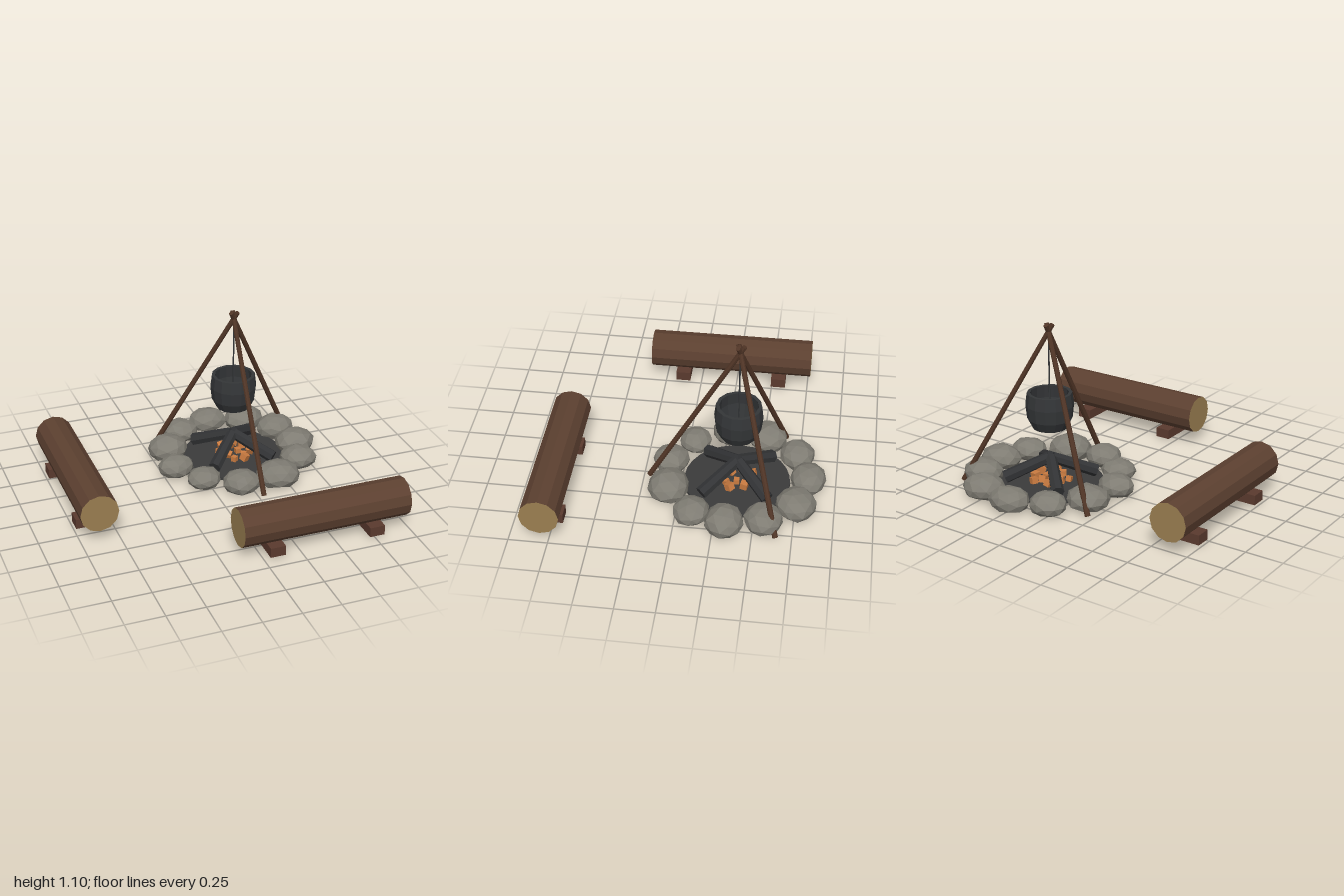
import * as THREE from 'three';

const material = (name, color) => {
  const m = new THREE.MeshStandardMaterial({ color });
  m.name = name;
  return m;
};

// Faceted copy of a geometry: one normal per face
function faceted(geometry) {
  const g = geometry.index ? geometry.toNonIndexed() : geometry;
  g.computeVertexNormals();
  return g;
}

export function createModel() {
  const bark = material('bark', 0x5c4030);
  const cutWood = material('cutWood', 0x9a7e50);
  const chockWood = material('chockWood', 0x5a3a2e);
  const poleWood = material('poleWood', 0x503526);
  const stone = material('stone', 0x7f7c73);
  const ash = material('ash', 0x3b3b3b);
  const charcoal = material('charcoal', 0x323335);
  const iron = material('iron', 0x343638);
  const ember = material('ember', 0xc87a40);

  const model = new THREE.Group();
  model.name = 'campfire';

  function add(parent, name, geometry, mat, x = 0, y = 0, z = 0) {
    const mesh = new THREE.Mesh(faceted(geometry), mat);
    mesh.name = name;
    mesh.position.set(x, y, z);
    parent.add(mesh);
    return mesh;
  }

  // Round bar between two points
  function bar(parent, name, from, to, rFrom, rTo, sides, mat) {
    const a = new THREE.Vector3(...from), b = new THREE.Vector3(...to);
    const dir = b.clone().sub(a);
    const mesh = add(parent, name, new THREE.CylinderGeometry(rTo, rFrom, dir.length(), sides), mat);
    mesh.position.copy(a).add(b).multiplyScalar(0.5);
    mesh.quaternion.setFromUnitVectors(new THREE.Vector3(0, 1, 0), dir.normalize());
    return mesh;
  }

  // Log seats: a twelve-sided trunk on two chocks
  function logSeat(name, x, z, turn) {
    const seat = new THREE.Group();
    seat.name = name;
    const trunk = new THREE.CylinderGeometry(0.126, 0.126, 1.12, 12).rotateZ(Math.PI / 2);
    const groups = trunk.groups;
    const log = add(seat, 'seatLog', trunk, [bark, cutWood, cutWood], 0, 0.197, 0);
    log.geometry.clearGroups();
    groups.forEach(g => log.geometry.addGroup(g.start, g.count, g.materialIndex));
    for (const side of [-1, 1]) {
      add(seat, 'chock', new THREE.BoxGeometry(0.1, 0.065, 0.224), chockWood, side * 0.337, 0.041, 0);
    }
    seat.position.set(x, 0, z);
    seat.rotation.y = turn;
    model.add(seat);
  }
  logSeat('frontSeat', 0.43, 0.8, 0);
  logSeat('rightSeat', -0.874, -0.208, Math.PI / 2);

  // Fire pit, centred on its own origin
  const pit = new THREE.Group();
  pit.name = 'firePit';
  pit.position.set(0.283, 0, -0.36);
  model.add(pit);
  add(pit, 'ashBed', new THREE.CylinderGeometry(0.345, 0.345, 0.02, 28), ash, 0, 0.018, 0);

  // Ring of stones: x, z, half width, half depth, top
  const stones = [
    [-0.018, -0.46, 0.136, 0.116, 0.15], [0.232, -0.395, 0.142, 0.13, 0.15],
    [0.397, -0.205, 0.134, 0.123, 0.15], [0.442, 0.04, 0.139, 0.123, 0.152],
    [0.377, 0.255, 0.124, 0.118, 0.14], [0.157, 0.43, 0.147, 0.133, 0.16],
    [-0.108, 0.445, 0.124, 0.118, 0.145], [-0.323, 0.31, 0.115, 0.107, 0.135],
    [-0.448, 0.095, 0.123, 0.11, 0.14], [-0.418, -0.17, 0.139, 0.128, 0.155],
    [-0.258, -0.375, 0.126, 0.115, 0.145],
  ];
  const ring = new THREE.Group();
  ring.name = 'stoneRing';
  pit.add(ring);
  stones.forEach(([x, z, w, d, top], i) => {
    const g = new THREE.IcosahedronGeometry(1, 1).rotateY(i * 1.3).rotateX(i * 0.7);
    const p = g.attributes.position;
    const v = new THREE.Vector3();
    for (let k = 0; k < p.count; k++) {
      v.fromBufferAttribute(p, k);
      // Uneven lumps from a smooth rule, then a flat base
      v.multiplyScalar(1.01 + 0.05 * Math.sin(5 * v.x + i) * Math.cos(4 * v.z - 2 * i));
      p.setXYZ(k, v.x * w, Math.max(0.01, 0.065 + v.y * (top - 0.065)), v.z * d);
    }
    add(ring, 'stone', g, stone, x, 0, z);
  });

  // Four charred logs leaning together
  for (let i = 0; i < 4; i++) {
    const a = Math.PI / 4 + i * Math.PI / 2;
    const c = Math.cos(a), s = Math.sin(a);
    bar(pit, 'charredLog', [c * 0.3, 0.07, s * 0.3], [c * 0.01, 0.187, s * 0.01], 0.043, 0.038, 7, charcoal);
  }

  // Embers scattered under the charred logs
  for (let i = 0; i < 12; i++) {
    const a = i * 2.4, r = 0.035 + 0.1 * Math.sqrt(i / 12);
    const size = 0.036 + 0.01 * (i % 3) / 2;
    const cube = add(pit, 'ember', new THREE.BoxGeometry(size, size, size), ember,
      Math.cos(a) * r, 0.045 + 0.006 * (i % 3), Math.sin(a) * r);
    cube.rotation.set(0.3 * (i % 2), i * 0.9, 0.2 * (i % 3));
  }

  // Tripod poles, crossing at the top
  for (let i = 0; i < 3; i++) {
    const a = Math.PI / 2 + i * Math.PI * 2 / 3;
    const c = Math.cos(a), s = Math.sin(a);
    bar(pit, 'tripodPole', [c * 0.575, 0.01, s * 0.575], [-c * 0.026, 1.09, -s * 0.026], 0.018, 0.016, 8, poleWood);
  }

  // Hanging pot with a thick rim and hollow inside
  const profile = [
    [0, 0.4], [0.113, 0.4], [0.146, 0.465], [0.156, 0.555], [0.146, 0.637],
    [0.124, 0.637], [0.13, 0.555], [0.105, 0.44], [0, 0.43],
  ].map(([x, y]) => new THREE.Vector2(x, y));
  add(pit, 'cookingPot', new THREE.LatheGeometry(profile, 14), iron);
  bar(pit, 'hangingCord', [0, 0.43, 0], [0, 1.05, 0], 0.005, 0.005, 6, iron);

  return model;
}
